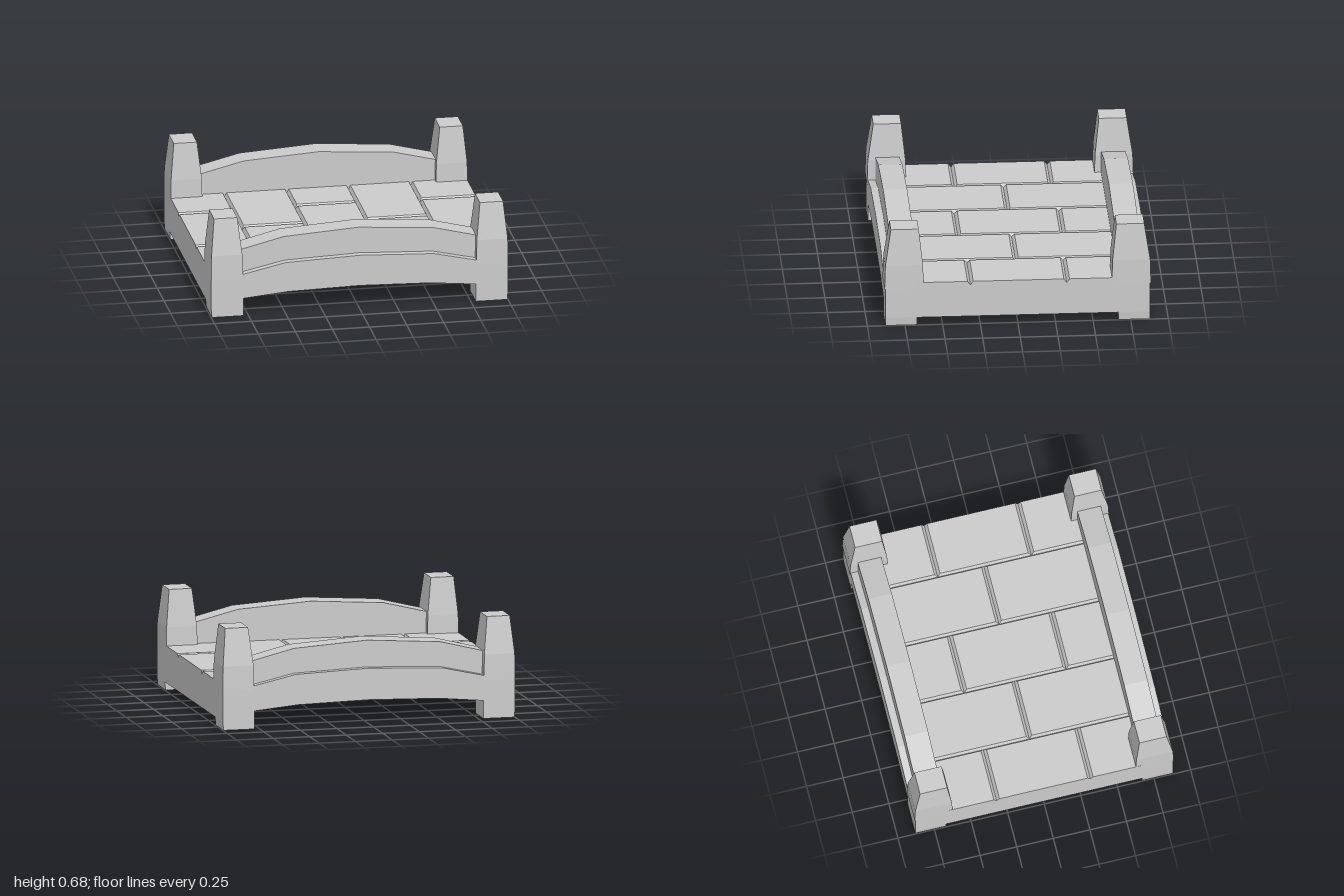
import * as THREE from 'three';

const material = new THREE.MeshStandardMaterial({ color: 0xcccccc, flatShading: true });

function addMesh(parent, name, geometry) {
  const mesh = new THREE.Mesh(geometry, material);
  mesh.name = name;
  parent.add(mesh);
  return mesh;
}

// Solid from stacked rectangles: each ring is [y, x0, x1, z0, z1]
function stack(rings) {
  const pos = [], idx = [];
  for (const [y, x0, x1, z0, z1] of rings) pos.push(x0, y, z1, x1, y, z1, x1, y, z0, x0, y, z0);
  for (let r = 0; r < rings.length - 1; r++) {
    for (let i = 0; i < 4; i++) {
      const a = r * 4 + i, b = r * 4 + (i + 1) % 4;
      idx.push(a, b, b + 4, a, b + 4, a + 4);
    }
  }
  const t = (rings.length - 1) * 4;
  idx.push(0, 2, 1, 0, 3, 2, t, t + 1, t + 2, t, t + 2, t + 3);
  const g = new THREE.BufferGeometry();
  g.setAttribute('position', new THREE.Float32BufferAttribute(pos, 3));
  g.setIndex(idx);
  const flat = g.toNonIndexed();
  flat.computeVertexNormals();
  return flat;
}

// Mirror a right-hand run of points across x = 0
const mirrored = (half) => [...half.map(([x, y]) => [-x, y]).reverse(), ...half.filter(([x]) => x > 0)];

// Extrude the band between a lower and an upper line from z0 to z1
function band(lower, upper, z0, z1) {
  const points = [...lower, ...[...upper].reverse()].map(([x, y]) => new THREE.Vector2(x, y));
  const g = new THREE.ExtrudeGeometry(new THREE.Shape(points), { depth: z1 - z0, bevelEnabled: false });
  return g.translate(0, 0, z0);
}

export function createModel() {
  const group = new THREE.Group();
  const Z_IN = 0.67, Z_OUT = 0.88, DECK = 0.305, GROOVE = 0.28;

  // Deck base with a slit along the middle of its underside
  const underside = mirrored([[0.03, 0.16], [0.0301, 0.135], [0.48, 0.148], [0.78, 0.09], [1, 0.055]]);
  addMesh(group, 'deckBase', band(underside, [[-1, GROOVE], [1, GROOVE]], -Z_IN, Z_IN));

  // Staggered paving slabs with chamfers along the grooves
  const columns = [
    { x: [-1, -0.63], cuts: [-0.325, 0.315] },
    { x: [-0.63, -0.21], cuts: [-0.01] },
    { x: [-0.21, 0.205], cuts: [-0.35, 0.345] },
    { x: [0.205, 0.625], cuts: [-0.01] },
    { x: [0.625, 1], cuts: [-0.325, 0.315] },
  ];
  const slabs = new THREE.Group();
  slabs.name = 'pavingSlabs';
  group.add(slabs);
  for (const { x: [x0, x1], cuts } of columns) {
    const edges = [-Z_IN, ...cuts, Z_IN];
    for (let i = 0; i < edges.length - 1; i++) {
      const z0 = edges[i], z1 = edges[i + 1];
      const cx = 0.013, cz = 0.019;
      addMesh(slabs, 'slab', stack([
        [GROOVE, x0, x1, z0, z1],
        [DECK,
          x0 + (x0 > -1 ? cx : 0), x1 - (x1 < 1 ? cx : 0),
          z0 + (i > 0 ? cz : 0), z1 - (i < edges.length - 2 ? cz : 0)],
      ]));
    }
  }

  // Arched side beams and parapets, front and back
  const beamBottom = mirrored([[0, 0.162], [0.48, 0.15], [0.78, 0.122], [0.95, 0.1]]);
  const beamTop = mirrored([[0, 0.375], [0.5, 0.355], [0.79, 0.29], [0.95, 0.255]]);
  const wallTop = mirrored([[0, 0.555], [0.5, 0.522], [0.79, 0.45], [0.9, 0.42]]);
  const wallBottom = [[-0.9, 0.2], [0.9, 0.2]];
  for (const s of [1, -1]) {
    const side = s > 0 ? 'front' : 'back';
    const range = (a, b) => (s > 0 ? [a, b] : [-b, -a]);
    const beam = band(beamBottom, beamTop, ...range(Z_IN, Z_OUT));
    // Slope the beam's underside down to the deck at its inner edge
    const p = beam.attributes.position;
    for (let i = 0; i < p.count; i++) {
      const ax = Math.abs(p.getX(i));
      if (p.getY(i) < 0.2 && Math.abs(p.getZ(i)) < 0.7) {
        p.setY(i, p.getY(i) - (ax > 0.7 ? 0.032 : ax > 0.3 ? 0.002 : 0));
      }
    }
    beam.computeVertexNormals();
    addMesh(group, side + 'Beam', beam);
    addMesh(group, side + 'Parapet', band(wallBottom, wallTop, ...range(Z_IN, 0.83)));
  }

  // Four tapering corner posts standing on short feet
  for (const sx of [1, -1]) {
    for (const sz of [1, -1]) {
      const ring = (y, xi, xo, zi, zo) => [
        y, Math.min(sx * xi, sx * xo), Math.max(sx * xi, sx * xo),
        Math.min(sz * zi, sz * zo), Math.max(sz * zi, sz * zo),
      ];
      const name = (sz > 0 ? 'front' : 'back') + (sx > 0 ? 'Left' : 'Right');
      addMesh(group, name + 'Foot', stack([
        ring(0, 0.783, 0.995, Z_IN, Z_OUT),
        ring(0.055, 0.783, 1, Z_IN, Z_OUT),
        ring(0.26, 0.787, 1, Z_IN, Z_OUT),
      ]));
      addMesh(group, name + 'Post', stack([
        ring(0.26, 0.787, 1, 0.625, 0.885),
        ring(0.43, 0.79, 0.998, 0.63, 0.88),
        ring(0.68, 0.818, 0.974, 0.657, 0.842),
      ]));
    }
  }
  return group;
}
